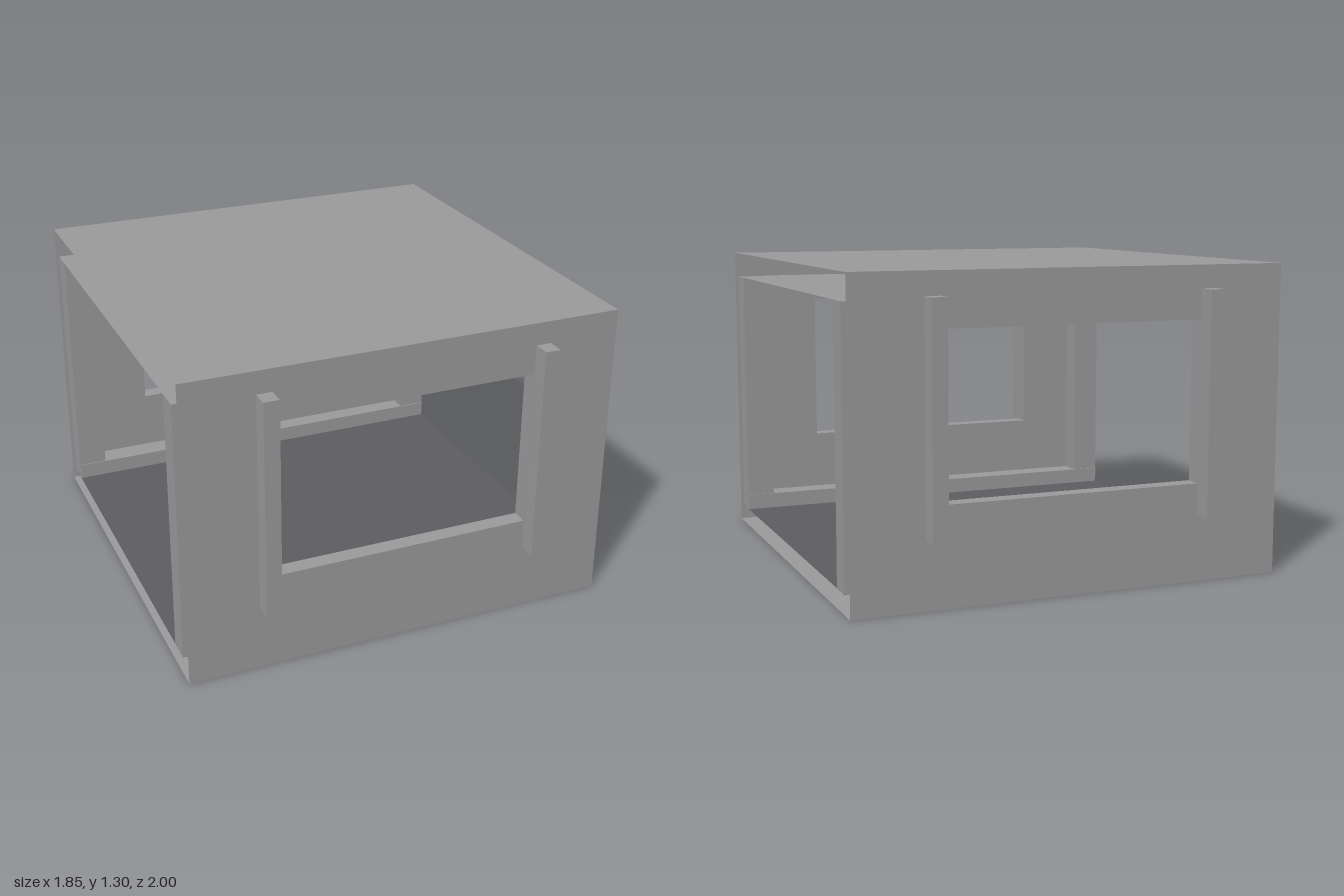
import * as THREE from 'three';

const grey = new THREE.MeshStandardMaterial({ color: 0x9b9b9b, side: THREE.DoubleSide });
grey.name = 'grey panel';
const dark = new THREE.MeshStandardMaterial({ color: 0x5d5c61, side: THREE.DoubleSide });
dark.name = 'dark floor';

const HALF = 0.925, HEIGHT = 1.3, FLOOR = 0.08, CEILING = 1.19;
const WIN = { x: 0.555, y0: 0.41, y1: 1.08 };

function add(parent, name, geometry, material = grey) {
  const mesh = new THREE.Mesh(geometry, material);
  mesh.name = name;
  parent.add(mesh);
  return mesh;
}

// Box given by its extents
function block(parent, name, x0, x1, y0, y1, z0, z1) {
  const mesh = add(parent, name, new THREE.BoxGeometry(x1 - x0, y1 - y0, z1 - z0));
  mesh.position.set((x0 + x1) / 2, (y0 + y1) / 2, (z0 + z1) / 2);
}

// Flat horizontal sheet
function sheet(parent, name, y, halfX, halfZ, material) {
  const g = new THREE.PlaneGeometry(halfX * 2, halfZ * 2).rotateX(-Math.PI / 2);
  add(parent, name, g, material).position.y = y;
}

// Rectangle with the window cut out
function wallShape(halfX, y0, y1) {
  const s = new THREE.Shape();
  s.moveTo(-halfX, y0).lineTo(halfX, y0).lineTo(halfX, y1).lineTo(-halfX, y1).closePath();
  const h = new THREE.Path();
  h.moveTo(-WIN.x, WIN.y0).lineTo(-WIN.x, WIN.y1).lineTo(WIN.x, WIN.y1).lineTo(WIN.x, WIN.y0).closePath();
  s.holes.push(h);
  return s;
}

// One windowed end, facing +z
function createEnd() {
  const end = new THREE.Group();

  // Thin outer skin and the thicker frame behind it
  add(end, 'outerWall', new THREE.ShapeGeometry(wallShape(HALF, 0, HEIGHT))).position.z = HALF;
  add(end, 'innerWall', new THREE.ExtrudeGeometry(wallShape(0.8, FLOOR + 0.001, CEILING - 0.001),
    { depth: 0.055, bevelEnabled: false })).position.z = 0.855;

  // Window reveal closing the gap between the two walls
  const midY = (WIN.y0 + WIN.y1) / 2, gap = 0.015, z = HALF - gap / 2;
  for (const s of [-1, 1]) {
    const jamb = add(end, 'windowJamb', new THREE.PlaneGeometry(gap, WIN.y1 - WIN.y0).rotateY(-s * Math.PI / 2));
    jamb.position.set(s * WIN.x, midY, z);
    const sill = add(end, s < 0 ? 'windowSill' : 'windowHead',
      new THREE.PlaneGeometry(WIN.x * 2, gap).rotateX(s * Math.PI / 2));
    sill.position.set(0, s < 0 ? WIN.y0 : WIN.y1, z);
  }

  // Corner posts inside, upright rails outside
  for (const s of [-1, 1]) {
    const span = (a, b) => (s > 0 ? [a, b] : [-b, -a]);
    block(end, 'cornerPost', ...span(0.8, HALF), FLOOR + 0.001, CEILING - 0.001, 0.755, 0.855);
    block(end, 'outerRail', ...span(0.557, 0.622), 0.28, 1.205, HALF, 1.0);
  }

  // Cross beams between the posts
  block(end, 'lowerBeam', -HALF + 0.001, HALF - 0.001, FLOOR + 0.001, 0.15, 0.75, 0.854);
  block(end, 'upperBeam', -0.8, 0.8, WIN.y1, CEILING - 0.001, 0.755, 0.855);
  return end;
}

export function createModel() {
  const model = new THREE.Group();
  model.name = 'openShelter';

  // Outer roof and base, inner ceiling and floor
  sheet(model, 'roof', HEIGHT, HALF, HALF, grey);
  sheet(model, 'base', 0, HALF, HALF, grey);
  sheet(model, 'ceiling', CEILING, HALF, 0.855, grey);
  sheet(model, 'floor', FLOOR, HALF, 0.855, dark);

  // Matching front and back ends
  ['frontEnd', 'backEnd'].forEach((name, i) => {
    const end = createEnd();
    end.name = name;
    end.rotation.y = i * Math.PI;
    model.add(end);
  });
  return model;
}
